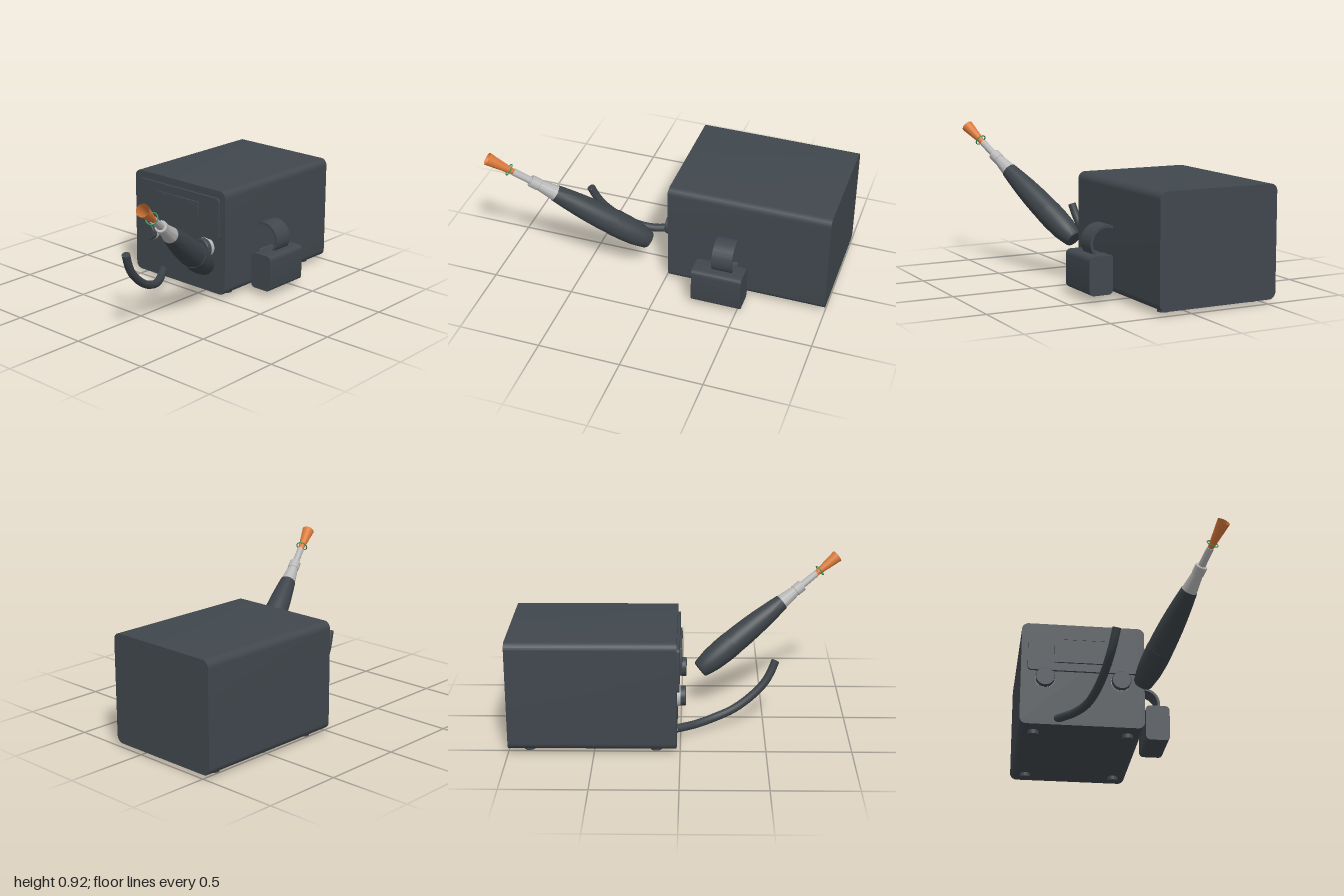
import * as THREE from 'three';
import { toCreasedNormals } from 'three/addons/utils/BufferGeometryUtils.js';

function material(name, color, side = THREE.FrontSide) {
  const m = new THREE.MeshStandardMaterial({ color, side });
  m.name = name;
  return m;
}

function roundedRect(x0, x1, y0, y1, r) {
  const s = new THREE.Shape();
  s.moveTo(x0 + r, y0);
  s.lineTo(x1 - r, y0);
  s.absarc(x1 - r, y0 + r, r, -Math.PI / 2, 0, false);
  s.lineTo(x1, y1 - r);
  s.absarc(x1 - r, y1 - r, r, 0, Math.PI / 2, false);
  s.lineTo(x0 + r, y1);
  s.absarc(x0 + r, y1 - r, r, Math.PI / 2, Math.PI, false);
  s.lineTo(x0, y0 + r);
  s.absarc(x0 + r, y0 + r, r, Math.PI, Math.PI * 1.5, false);
  return s;
}

// Extrude a shape between two depths, smooth on its rounded corners
function slab(shape, z0, z1) {
  const g = new THREE.ExtrudeGeometry(shape, { depth: z1 - z0, bevelEnabled: false, curveSegments: 10 });
  g.translate(0, 0, z0);
  return toCreasedNormals(g, 0.6);
}

function lathe(points, segments = 36) {
  const g = new THREE.LatheGeometry(points.map(([r, y]) => new THREE.Vector2(r, y)), segments);
  return toCreasedNormals(g, 0.5);
}

export function createModel() {
  const model = new THREE.Group();
  model.name = 'handpieceUnit';
  const dark = material('darkCasing', 0x40474d);
  const grip = material('darkGrip', 0x3c4348);
  const silver = material('silver', 0xb8b8b8);
  const orange = material('orange', 0xdb7a3a, THREE.DoubleSide);
  const green = material('green', 0x3a9a60);

  const add = (parent, name, geometry, mat, x = 0, y = 0, z = 0) => {
    const mesh = new THREE.Mesh(geometry, mat);
    mesh.name = name;
    mesh.position.set(x, y, z);
    parent.add(mesh);
    return mesh;
  };

  // Casing and front panel
  add(model, 'casing', slab(roundedRect(-0.55, 0.2, 0.025, 0.683, 0.042), -1, -0.02), dark);
  add(model, 'frontPanel', slab(roundedRect(-0.51, 0.16, 0.37, 0.638, 0.022), -0.02, -0.004), dark);
  add(model, 'screen', slab(roundedRect(-0.35, 0, 0.42, 0.588, 0.003), -0.004, 0.008), dark);
  add(model, 'screenTrim', new THREE.BoxGeometry(0.31, 0.004, 0.004), dark, -0.175, 0.572, 0.009);

  // Knobs, each with a silver collar
  for (const x of [-0.405, 0.055]) {
    const collar = new THREE.CylinderGeometry(0.06, 0.06, 0.022, 40).rotateX(Math.PI / 2);
    add(model, 'knobCollar', collar, silver, x, 0.313, -0.009);
    const knob = lathe([[0.0585, 0], [0.0585, 0.026], [0.055, 0.031], [0, 0.031]], 40).rotateX(Math.PI / 2);
    add(model, 'knob', knob, dark, x, 0.313, 0.002);
  }

  // Feet
  for (const x of [-0.46, 0.11]) {
    for (const z of [-0.14, -0.88]) {
      add(model, 'foot', new THREE.CylinderGeometry(0.033, 0.033, 0.027, 28), dark, x, 0.0135, z);
    }
  }

  // Side holder: a hollow ring with a block beneath it
  const ring = new THREE.Shape().absarc(0.24, 0.325, 0.104, 0, Math.PI * 2, false);
  ring.holes.push(new THREE.Path().absarc(0.24, 0.325, 0.088, 0, Math.PI * 2, true));
  const ringGeometry = new THREE.ExtrudeGeometry(ring, { depth: 0.125, bevelEnabled: false, curveSegments: 28 });
  ringGeometry.translate(0, 0, -0.46);
  add(model, 'holderRing', toCreasedNormals(ringGeometry, 0.6), dark);
  add(model, 'holderBlock', slab(roundedRect(0.236, 0.385, 0.04, 0.266, 0.028), -0.53, -0.225), dark);

  // Cable curving out of the front
  const path = new THREE.CatmullRomCurve3([
    [-0.325, 0.066, -0.03], [-0.29, 0.062, 0.02], [-0.235, 0.058, 0.095], [-0.172, 0.072, 0.2],
    [-0.132, 0.108, 0.31], [-0.1, 0.17, 0.41], [-0.073, 0.255, 0.5], [-0.058, 0.32, 0.54],
    [-0.045, 0.392, 0.57],
  ].map((p) => new THREE.Vector3(...p)));
  add(model, 'cable', new THREE.TubeGeometry(path, 48, 0.025, 18), grip);
  const end = path.getPoint(1);
  const cap = add(model, 'cableEnd', new THREE.CircleGeometry(0.025, 18), grip, end.x, end.y, end.z);
  cap.lookAt(end.clone().add(path.getTangent(1)));

  // Handpiece, turned around its own long axis
  const handpiece = new THREE.Group();
  handpiece.name = 'handpiece';
  const tail = new THREE.Vector3(0.165, 0.25, 0.115);
  const tip = new THREE.Vector3(0.506, 0.885, 0.976);
  const axis = tip.clone().sub(tail);
  const length = axis.length();
  handpiece.position.copy(tail);
  handpiece.quaternion.setFromUnitVectors(new THREE.Vector3(0, 1, 0), axis.normalize());
  model.add(handpiece);

  add(handpiece, 'gripTail', lathe([
    [0, 0], [0.05, 0], [0.057, 0.01], [0.067, 0.06], [0.074, 0.1], [0.079, 0.18], [0.08, 0.255], [0.077, 0.255],
  ]), grip);
  add(handpiece, 'gripFront', lathe([
    [0.078, 0.255], [0.077, 0.33], [0.073, 0.42], [0.067, 0.5], [0.058, 0.59], [0.049, 0.665], [0, 0.665],
  ]), grip);
  add(handpiece, 'nose', lathe([
    [0.047, 0.66], [0.033, 0.775], [0.036, 0.777], [0.036, 0.828], [0.033, 0.833],
    [0.022, 0.833], [0.021, 0.95], [0, 0.95],
  ]), silver);
  const cone = new THREE.CylinderGeometry(0.038, 0.015, length - 0.935, 28, 1, true);
  add(handpiece, 'openCone', cone, orange, 0, (length + 0.935) / 2, 0);
  const band = new THREE.TorusGeometry(0.034, 0.0035, 8, 36).rotateX(Math.PI / 2);
  add(handpiece, 'greenRing', band, green, 0, 0.978, 0);

  return model;
}
